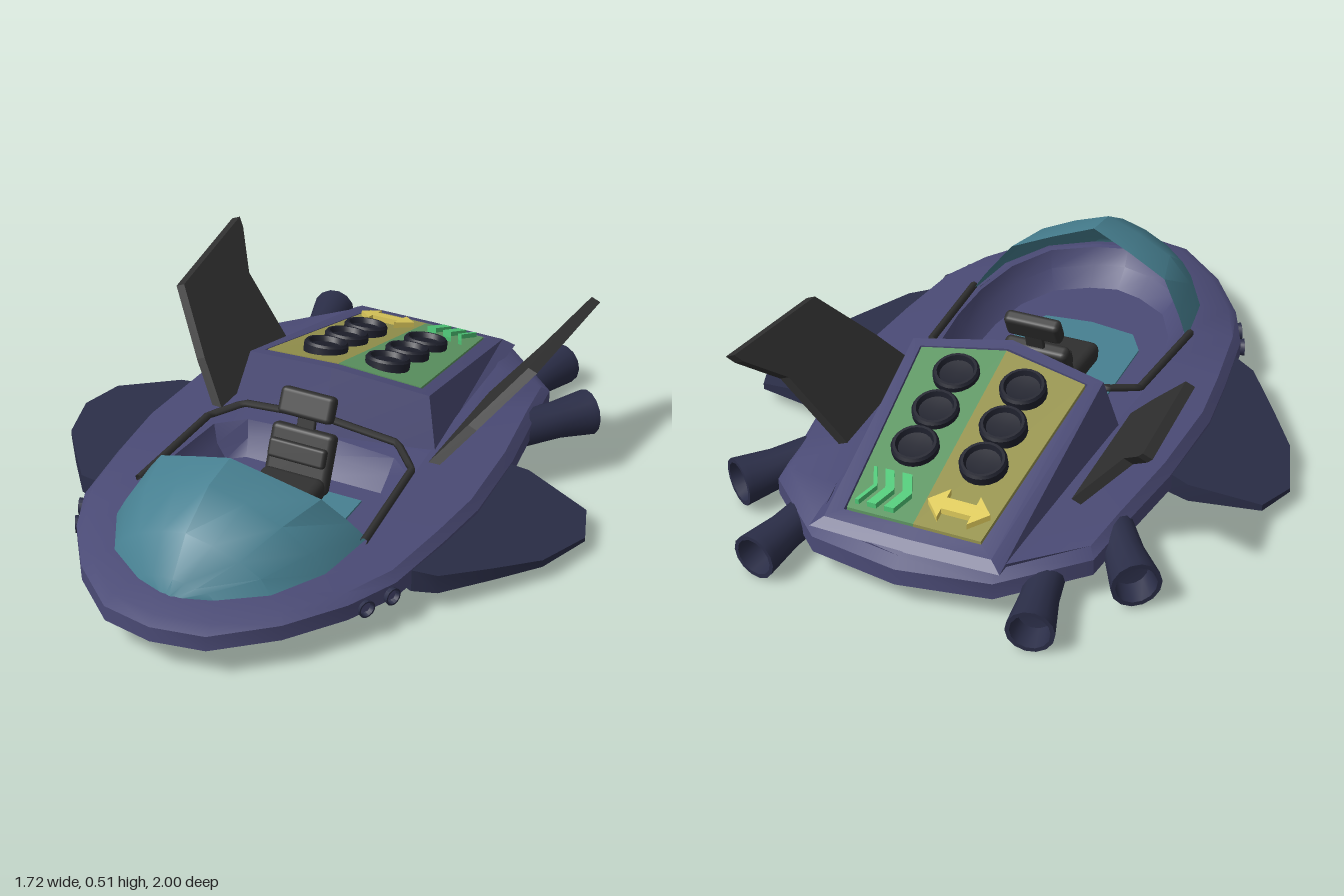
import * as THREE from 'three';
import { toCreasedNormals } from 'three/addons/utils/BufferGeometryUtils.js';
import { RoundedBoxGeometry } from 'three/addons/geometries/RoundedBoxGeometry.js';

const paint = (color) => new THREE.MeshStandardMaterial({ color, side: THREE.DoubleSide });
const V = (x, y, z) => new THREE.Vector3(x, y, z);

// Mirror a half outline of [x, z] (front to back on +x) into a closed one
const mirrored = (half) => [...half, ...half.slice(1, -1).reverse().map(([x, ...r]) => [-x, ...r])];

// Lift an outline to 3D: scale it, and set y by a rule
const ring = (half, yAt, s = 1) => mirrored(half).map(([x, z]) => V(x * s, yAt(x * s, z * s), z * s));

// Skin a list of rings with equal point counts
function loft(rings, { closed = true, cap = false, crease = 0.6 } = {}) {
  const n = rings[0].length, pos = [], idx = [];
  rings.forEach((r) => r.forEach((p) => pos.push(p.x, p.y, p.z)));
  for (let i = 0; i < rings.length - 1; i++) {
    for (let j = 0; j < (closed ? n : n - 1); j++) {
      const a = i * n + j, b = i * n + (j + 1) % n;
      idx.push(a, b, b + n, a, b + n, a + n);
    }
  }
  if (cap) { // close the last ring across, pairing mirrored points
    const o = (rings.length - 1) * n;
    for (let j = 0; j < n / 2; j++) {
      const a = o + j, b = o + j + 1, c = o + (n - j - 1) % n, d = o + (n - j) % n;
      idx.push(a, b, c, a, c, d);
    }
  }
  const g = new THREE.BufferGeometry();
  g.setAttribute('position', new THREE.Float32BufferAttribute(pos, 3));
  g.setIndex(idx);
  return toCreasedNormals(g, crease);
}

// Slab with a plan outline of [x, z]; yAt(x, z, t) gives height, t = 0 below, 1 above
function slab(points, yAt) {
  const shape = new THREE.Shape(points.map(([x, z]) => new THREE.Vector2(x, -z)));
  const g = new THREE.ExtrudeGeometry(shape, { depth: 1, bevelEnabled: false });
  const p = g.attributes.position;
  for (let i = 0; i < p.count; i++) {
    const x = p.getX(i), z = -p.getY(i);
    p.setXYZ(i, x, yAt(x, z, p.getZ(i)), z);
  }
  g.computeVertexNormals();
  return g;
}

export function createModel() {
  const root = new THREE.Group();
  const hullMat = paint(0x4b4b76), navy = paint(0x2b2e48), black = paint(0x303030), dark = paint(0x1e202c);
  const glass = paint(0x478091), yellow = paint(0xe0cc5c), green = paint(0x4fc878);
  const add = (name, geo, mat, parent = root) => {
    const m = new THREE.Mesh(geo, mat);
    m.name = name;
    parent.add(m);
    return m;
  };

  // Hull: belly, rim and deck, open in the middle
  const outline = [[0, 1], [.16, .97], [.32, .83], [.44, .66], [.51, .5], [.545, .25], [.565, .05],
    [.55, -.25], [.51, -.53], [.49, -.7], [.275, -.905], [0, -.95]];
  const opening = [[0, .86], [.11, .83], [.24, .75], [.32, .6], [.355, .42], [.36, .25], [.345, .03],
    [.33, -.16], [.315, -.4], [.3, -.7], [.27, -.87], [0, -.88]];
  const belly = (x, z) => .04 + .035 * z;
  const deck = (x, z) => .188 + .03 * Math.min(0, z + .2) - .01 * Math.max(0, z - .4);
  add('hull', loft([
    ring(opening, deck),
    ring(outline, (x, z) => deck(x, z) - .015, .96),
    ring(outline, (x, z) => .142 + .01 * z),
    ring(outline, (x, z) => .092 + .012 * z),
    ring(outline, (x, z) => belly(x, z) + .008, .9),
    ring(outline, belly, .72),
  ], { cap: true }), hullMat);

  // Cockpit tub
  const front = opening.slice(0, 6);
  const inset = (s, d) => front.map(([x, z]) => [x * s, (z - .3) * s + .3 - d]);
  add('cockpitTub', loft([
    ring([...front, [.345, .03], [.33, -.22], [0, -.22]], () => .186),
    ring([...inset(.97, 0), [.33, .03], [.25, -.04], [0, -.06]], () => .184),
    ring([...inset(.92, 0), [.31, .05], [.24, -.02], [0, -.03]], () => .13),
    ring([...inset(.8, 0), [.28, .05], [.23, .01], [0, .01]], () => .08),
  ], { cap: true }), hullMat);
  add('floorWindow', slab(mirrored([[0, .52], [.15, .5], [.2, .42], [.2, .08], [0, .08]]),
    (x, z, t) => t ? .086 : belly(x, z) - .006), glass);

  // Seat
  const seat = new THREE.Group();
  seat.name = 'seat';
  root.add(seat);
  for (const [name, w, h, d, y, z, tilt] of [
    ['seatBase', .2, .07, .18, .063, .22, 0], ['seatCushion', .21, .07, .21, .12, .225, .08],
    ['seatBackrest', .21, .19, .05, .185, .09, -.4], ['lumbarPad', .19, .06, .03, .215, .11, -.4],
    ['headrestPost', .06, .1, .015, .28, .05, -.3], ['headrest', .18, .085, .045, .345, .04, -.45],
  ]) {
    const m = add(name, new RoundedBoxGeometry(w, h, d, 2, Math.min(w, h, d) * .35), black, seat);
    m.position.set(0, y, z);
    m.rotation.x = tilt;
  }

  // Canopy glass: arches from the open rear to the nose
  const arch = (half) => [...half, ...half.slice(0, -1).reverse().map(([x, y, z]) => [-x, y, z])].map((p) => V(...p));
  add('canopy', loft([
    arch([[.368, .185, .39], [.33, .245, .42], [.26, .335, .47], [.13, .385, .5], [0, .43, .525]]),
    arch([[.338, .185, .6], [.3, .25, .61], [.22, .325, .63], [.11, .375, .64], [0, .41, .65]]),
    arch([[.25, .185, .76], [.22, .23, .76], [.16, .275, .77], [.08, .31, .78], [0, .33, .785]]),
    arch([[.12, .183, .85], [.1, .2, .85], [.07, .21, .855], [.035, .22, .86], [0, .225, .865]]),
    arch([[.06, .182, .87], [.045, .182, .875], [.03, .182, .88], [.015, .182, .88], [0, .182, .885]]),
  ], { closed: false, crease: .5 }), glass);

  // Canopy rail around the cockpit
  const rail = new THREE.CurvePath();
  const railPts = arch([[.37, .195, .42], [.345, .215, .04], [.26, .24, -.04], [0, .25, -.06]]);
  railPts.slice(1).forEach((p, i) => rail.add(new THREE.LineCurve3(railPts[i], p)));
  add('canopyRail', new THREE.TubeGeometry(rail, 60, .012, 6), black);

  // Engine cover behind the cockpit, with a sunken sloping top
  const slope = (x, z) => .425 + .28 * z - .1 * Math.abs(x) * THREE.MathUtils.clamp((z + .85) / .7, 0, 1);
  const coverTop = [[0, -.12], [.305, -.165], [.255, -.865], [0, -.87]];
  const coverInner = [[0, -.16], [.268, -.195], [.21, -.83], [0, -.83]];
  add('engineCover', loft([
    ring([[0, -.06], [.345, -.13], [.29, -.89], [0, -.9]], (x, z) => deck(x, z) - .01),
    ring(coverTop, slope),
    ring(coverInner, (x, z) => slope(x, z) + .004),
    ring(coverInner, (x, z) => slope(x, z) - .012, .995),
  ], { cap: true, crease: .3 }), hullMat);

  const onCover = (lo, hi) => (x, z, t) => slope(x, z) + (t ? hi : lo);
  for (const [s, name, color] of [[-1, 'yellowPanel', 0x98954f], [1, 'greenPanel', 0x5f9864]]) {
    const pts = [[0, -.168], [.262, -.2], [.205, -.822], [0, -.822]].map(([x, z]) => [x * s, z]);
    add(name, slab(pts, onCover(-.012, .005)), paint(color));
    // Exhaust fans with dished tops
    for (const z of [-.575, -.435, -.29]) {
      const profile = [[.07, -.02], [.07, .022], [.064, .03], [.056, .03], [.05, .014], [0, .01]];
      const fan = add('fan', toCreasedNormals(new THREE.LatheGeometry(
        profile.map((p) => new THREE.Vector2(...p)), 20), .6), dark);
      fan.position.set(s * .106, slope(.106, z) + .005, z);
      fan.rotation.x = -.27;
    }
  }

  // Raised double arrow and chevrons
  const tip = [[-.2, 0], [-.15, -.05], [-.15, -.02], [-.06, -.02], [-.06, -.05], [-.01, 0]];
  const arrow = [...tip, ...tip.slice(1, -1).reverse().map(([x, z]) => [x, -z])].map(([x, z]) => [x, z - .745]);
  add('doubleArrow', slab(arrow, onCover(0, .022)), yellow);
  [[.04, .03], [.095, .028], [.148, .012]].forEach(([x, w]) => {
    const e = .028;
    const pts = [[x, 0], [x + e, -.062], [x + e + w, -.062], [x + w, 0], [x + e + w, .062], [x + e, .062]];
    add('chevron', slab(pts.map(([a, b]) => [a, b - .742]), onCover(0, .022)), green);
  });

  // Mirrored parts
  const nozzle = (len, r) => toCreasedNormals(new THREE.LatheGeometry(
    [[.8, 0], [.8, .55], [.97, .93], [1, 1], [.82, 1], [.7, .75], [0, .72]]
      .map(([a, b]) => new THREE.Vector2(a * r, b * len)), 14), .6);
  for (const side of [1, -1]) {
    const half = new THREE.Group();
    half.name = side > 0 ? 'leftSide' : 'rightSide';
    half.scale.x = side;
    root.add(half);

    // Drooping side wing, thinning to the tip
    const wing = [[.47, .4], [.52, .42], [.59, .39], [.7, .25], [.8, .115], [.86, -.07], [.815, -.195],
      [.605, -.25], [.47, -.22]];
    add('wing', toCreasedNormals(slab(wing, (x, z, t) => {
      const k = (x - .5) / .36;
      return .11 - .054 * k + (t - .5) * (.075 - .062 * k);
    }), .5), navy, half);

    // Tail fin, drawn in profile [z, y] and leaned outward
    const fin = [[-.06, .18], [-.13, .3], [-.25, .47], [-.68, .51], [-.665, .485], [-.555, .385], [-.525, .18]];
    const finGeo = new THREE.ExtrudeGeometry(new THREE.Shape(fin.map((p) => new THREE.Vector2(...p))),
      { depth: 1, bevelEnabled: false });
    const p = finGeo.attributes.position;
    for (let i = 0; i < p.count; i++) {
      const z = p.getX(i), y = p.getY(i), t = .5 - p.getZ(i);
      p.setXYZ(i, .375 + (y - .19) * .8 + t * .028, y - t * .012, z);
    }
    finGeo.computeVertexNormals();
    add('tailFin', finGeo, black, half);

    // Engines and side guns
    for (const [name, a, b, r] of [
      ['rearEngine', V(.36, .085, -.7), V(.42, .073, -.985), .07],
      ['sideEngine', V(.46, .1, -.48), V(.62, .09, -.705), .074],
      ['gun', V(.4, .115, .57), V(.475, .115, .612), .027],
      ['gun', V(.43, .115, .49), V(.515, .115, .525), .027],
    ]) {
      const dir = b.clone().sub(a);
      const m = add(name, nozzle(dir.length(), r), navy, half);
      m.position.copy(a);
      m.quaternion.setFromUnitVectors(V(0, 1, 0), dir.normalize());
    }
  }
  return root;
}
